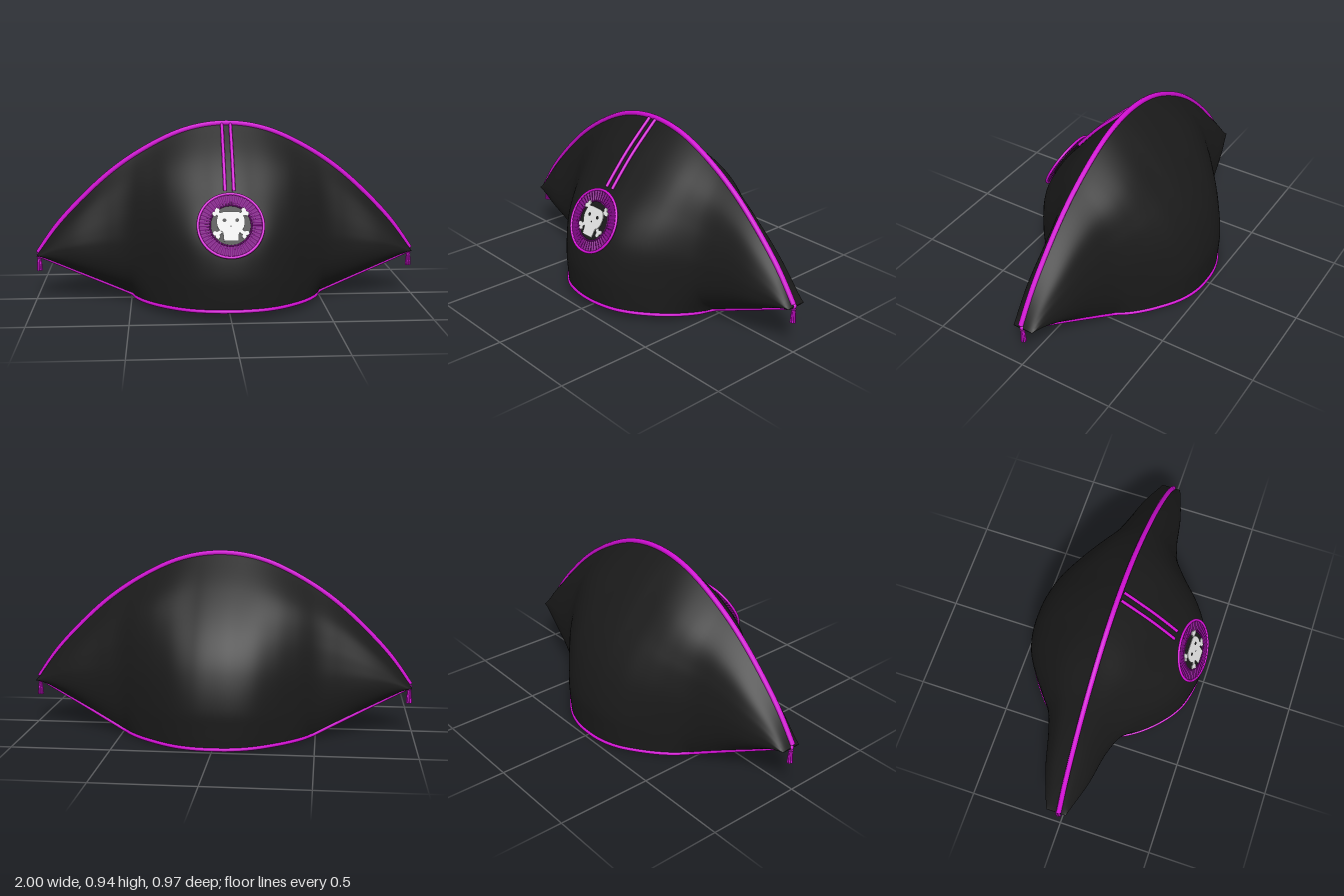
import * as THREE from 'three';

const { lerp, smoothstep } = THREE.MathUtils;

const paint = (name, color, side = THREE.FrontSide) => {
  const m = new THREE.MeshStandardMaterial({ color, side });
  m.name = name;
  return m;
};

// smooth curve through [position, value] pairs
function curve(pairs) {
  const c = new THREE.CubicInterpolant(pairs.map(p => p[0]), pairs.map(p => p[1]), 1);
  c.settings = { endingStart: THREE.ZeroSlopeEnding, endingEnd: THREE.ZeroCurvatureEnding };
  return t => c.evaluate(t)[0];
}

// surface from a rule at(u, v), u and v running 0..1
function surface(nu, nv, at, flip) {
  const pos = [], idx = [];
  for (let i = 0; i <= nu; i++) for (let j = 0; j <= nv; j++) pos.push(...at(i / nu, j / nv));
  for (let i = 0; i < nu; i++) for (let j = 0; j < nv; j++) {
    const a = i * (nv + 1) + j, b = a + 1, c = a + nv + 1, d = c + 1;
    if (flip) idx.push(a, c, b, b, c, d);
    else idx.push(a, b, c, b, d, c);
  }
  const g = new THREE.BufferGeometry();
  g.setAttribute('position', new THREE.Float32BufferAttribute(pos, 3));
  g.setIndex(idx);
  g.computeVertexNormals();
  return g;
}

const TIP = 0.985, END = 0.99, OPEN = 0.48;

// height of the ridge, by distance from the middle
const ridge = curve([[0, 0.927], [0.2, 0.898], [0.4, 0.81], [0.6, 0.677], [0.8, 0.49], [0.9, 0.375], [0.99, 0.245]]);

// steps down a section; each half gives its fullness there at the middle and on the wings
const STEPS = [0.175, 0.35, 0.48, 0.6, 0.8, 0.9, 0.97];
const halves = {
  front: {
    sign: 1, wing: 0.035, slope: 0.057,
    middle: [0.34, 0.62, 0.81, 0.93, 1, 0.75, 0.3],
    side: [0.46, 0.75, 0.9, 0.98, 0.9, 0.63, 0.23],
    bulge: curve([[0, 0.475], [0.1, 0.465], [0.2, 0.43], [0.3, 0.36], [0.4, 0.26], [0.5, 0.18], [0.6, 0.14], [0.8, 0.1], [0.99, 0.04]]),
    opening: curve([[0, 0.462], [0.1, 0.452], [0.2, 0.42], [0.3, 0.35], [0.4, 0.24], [0.45, 0.155], [0.48, 0.08], [0.5, 0.02], [0.52, -0.04]])
  },
  back: {
    sign: -1, wing: 0.2, slope: 0.028,
    middle: [0.36, 0.655, 0.82, 0.92, 1, 0.75, 0.3],
    side: [0.55, 0.81, 0.92, 0.98, 0.9, 0.63, 0.23],
    bulge: curve([[0, 0.482], [0.1, 0.475], [0.2, 0.445], [0.3, 0.385], [0.4, 0.31], [0.5, 0.235], [0.6, 0.195], [0.8, 0.14], [0.99, 0.07]]),
    opening: curve([[0, 0.475], [0.1, 0.467], [0.2, 0.435], [0.3, 0.375], [0.4, 0.295], [0.45, 0.24], [0.48, 0.195], [0.52, 0.13]])
  }
};

function edgePoint(half, x) {
  const d = Math.abs(x), k = Math.max(0, (d - OPEN) / (TIP - OPEN));
  const wing = half.wing * Math.max(0, 1 - k);
  const z = half.sign * (d < 0.52 ? Math.max(half.opening(d), wing) : wing);
  return [x, lerp(0.023 + half.slope * z, 0.236, k), z];
}

function sheetPoint(half, x, t) {
  const d = Math.abs(x), Z = half.bulge(d), low = edgePoint(half, x), E = Math.abs(low[2]);
  const w = smoothstep(d, 0.1, 0.5);
  const points = STEPS.map((s, i) => {
    const full = lerp(half.middle[i], half.side[i], w);
    return [s, s > 0.6 ? lerp(E, Z, full) : full * Z];
  });
  const section = curve([[-STEPS[0], -points[0][1]], [0, 0], ...points, [1, E]]);
  return [x, lerp(ridge(d), low[1], t), half.sign * section(t)];
}

const between = (p, q, v) => p.map((n, i) => lerp(n, q[i], v));

export function createModel() {
  const hat = new THREE.Group();
  hat.name = 'bicorneHat';
  const felt = paint('black felt', 0x1a1a1a, THREE.DoubleSide);
  const trim = paint('magenta trim', 0xd20ed4);
  const pleat = paint('purple pleats', 0x7c0882, THREE.DoubleSide);
  const bone = paint('bone white', 0xe4e4e4);

  const add = (name, geo, mat, parent = hat) => {
    const m = new THREE.Mesh(geo, mat);
    m.name = name;
    parent.add(m);
    return m;
  };
  const cord = (name, points, r, parent = hat, n = 120) => {
    const path = new THREE.CatmullRomCurve3(points.map(p => new THREE.Vector3(...p)));
    return add(name, new THREE.TubeGeometry(path, n, r, 8), trim, parent);
  };
  const span = (n, f) => Array.from({ length: n + 1 }, (_, i) => f((2 * i / n - 1) * TIP));

  // felt halves and the cord along each lower edge
  for (const [name, half] of Object.entries(halves)) {
    add(name + 'Brim', surface(132, 40, (u, v) => sheetPoint(half, (2 * u - 1) * END, v), half.sign < 0), felt);
    cord(name + 'EdgeCord', span(80, x => edgePoint(half, x)), 0.0095, hat, 220);
  }
  cord('ridgeCord', span(40, x => [x, ridge(Math.abs(x)), 0]), 0.0135);

  for (const s of [-1, 1]) {
    // underside closing each wing outside the head opening, and the narrow end of the wing
    add('wingUnderside', surface(20, 6, (u, v) => {
      const x = s * lerp(OPEN, END, u);
      return between(edgePoint(halves.front, x), edgePoint(halves.back, x), v);
    }, s < 0), felt);
    add('wingEnd', surface(24, 2, (u, v) =>
      between(sheetPoint(halves.front, s * END, u), sheetPoint(halves.back, s * END, u), v), s > 0), felt);

    // tassel: knot, collar and loose strands
    const tassel = new THREE.Group();
    tassel.name = 'tassel';
    tassel.position.set(s * 0.982, 0.24, -0.007);
    hat.add(tassel);
    add('tasselKnot', new THREE.SphereGeometry(0.0135, 12, 8), trim, tassel);
    const collar = add('tasselCollar', new THREE.TorusGeometry(0.009, 0.004, 6, 12), trim, tassel);
    collar.rotation.x = Math.PI / 2;
    collar.position.y = -0.016;
    for (let i = 0; i < 6; i++) {
      const a = i * Math.PI / 3, c = Math.cos(a), d = Math.sin(a);
      cord('tasselStrand', [[c * 0.003, -0.01, d * 0.003], [c * 0.008, -0.045, d * 0.008], [c * 0.011, -0.086, d * 0.011]], 0.005, tassel, 6);
    }

    // twin cords from the ridge down to the rosette
    cord('frontCord', [0.01, 0.09, 0.18, 0.27, 0.355].map(t => {
      const p = sheetPoint(halves.front, s * 0.022, t);
      return [p[0], p[1] + 0.004, p[2] + 0.005];
    }), 0.0085, hat, 24);
  }

  // rosette, leaning back with the felt
  const rosette = new THREE.Group();
  rosette.name = 'rosette';
  rosette.position.set(0, 0.47, 0.408);
  rosette.rotation.x = -0.464;
  hat.add(rosette);
  add('rosetteRim', new THREE.TorusGeometry(0.161, 0.007, 8, 64), trim, rosette);
  add('rosettePleats', surface(192, 1, (u, v) => {
    const a = u * Math.PI * 2, r = v ? 0.161 : 0.1;
    return [r * Math.cos(a), r * Math.sin(a), 0.003 * Math.cos(a * 48)];
  }, true), pleat, rosette);
  add('rosetteInnerRim', new THREE.TorusGeometry(0.102, 0.004, 6, 48), pleat, rosette);
  add('rosetteCentre', new THREE.CircleGeometry(0.102, 48), felt, rosette);

  // skull and crossed bones as thin plates
  const plate = (name, shape, x, y, z) => {
    const m = add(name, new THREE.ExtrudeGeometry(shape, { depth: 0.004, bevelEnabled: false, curveSegments: 12 }), bone, rosette);
    m.position.set(x, y, z);
  };
  const skull = new THREE.Shape();
  skull.moveTo(-0.036, -0.08);
  skull.lineTo(0.036, -0.08);
  skull.lineTo(0.04, -0.034);
  skull.bezierCurveTo(0.08, -0.025, 0.082, 0.066, 0.032, 0.068);
  skull.lineTo(-0.032, 0.068);
  skull.bezierCurveTo(-0.082, 0.066, -0.08, -0.025, -0.04, -0.034);
  plate('skull', skull, 0, 0, 0.006);
  for (const s of [-1, 1]) {
    const eye = add('skullEye', new THREE.CircleGeometry(0.0095, 16), felt, rosette);
    eye.position.set(s * 0.031, 0.024, 0.0115);
    const shaft = add('crossbone', new THREE.BoxGeometry(0.18, 0.02, 0.004), bone, rosette);
    shaft.rotation.z = s * 0.68;
    shaft.position.set(0, 0.01, 0.005);
    for (const e of [-1, 1]) for (const k of [-1, 1]) {
      const knob = new THREE.Shape().absarc(0, 0, 0.012, 0, Math.PI * 2);
      const a = s * 0.68 + k * 0.12;
      plate('boneKnob', knob, e * 0.092 * Math.cos(a), 0.01 + e * 0.092 * Math.sin(a), 0.003);
    }
  }
  const nose = add('skullNose', new THREE.CircleGeometry(0.006, 3), felt, rosette);
  nose.rotation.z = Math.PI / 2;
  nose.position.set(0, -0.006, 0.0115);
  return hat;
}
